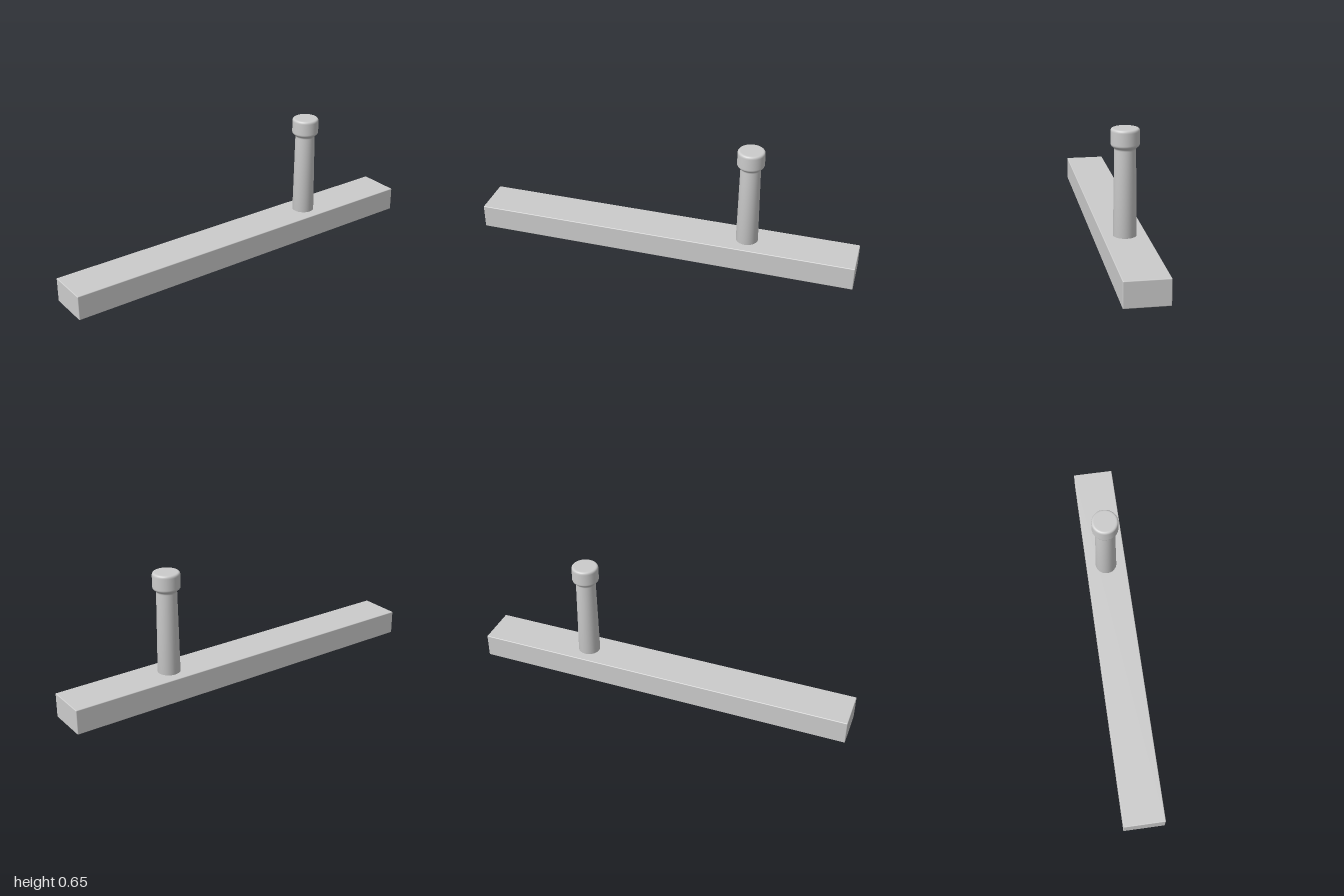
import * as THREE from 'three';
import { RoundedBoxGeometry } from 'three/addons/geometries/RoundedBoxGeometry.js';

const material = new THREE.MeshStandardMaterial({ color: 0xcccccc });

function addPart(group, name, geometry, x, y, z) {
  const mesh = new THREE.Mesh(geometry, material);
  mesh.name = name;
  mesh.position.set(x, y, z);
  group.add(mesh);
}

export function createModel() {
  const group = new THREE.Group();
  const barHeight = 0.127;

  // Long rectangular bar with slightly softened edges
  addPart(group, 'bar', new RoundedBoxGeometry(2, barHeight, 0.215, 3, 0.004), 0, barHeight / 2, 0);

  // Tapered grip flaring into a knob, turned as one profile from bottom to top
  const profile = new THREE.Path();
  profile.moveTo(0, 0.1);
  profile.lineTo(0.0575, 0.1);
  profile.lineTo(0.051, 0.548);
  profile.quadraticCurveTo(0.0508, 0.556, 0.056, 0.56);
  profile.lineTo(0.064, 0.567);
  profile.quadraticCurveTo(0.0685, 0.571, 0.0685, 0.579);
  profile.lineTo(0.0685, 0.637);
  profile.quadraticCurveTo(0.0685, 0.652, 0.055, 0.652);
  profile.lineTo(0, 0.652);
  addPart(group, 'sideHandle', new THREE.LatheGeometry(profile.getPoints(6), 48), 0.432, 0, -0.001);

  return group;
}
